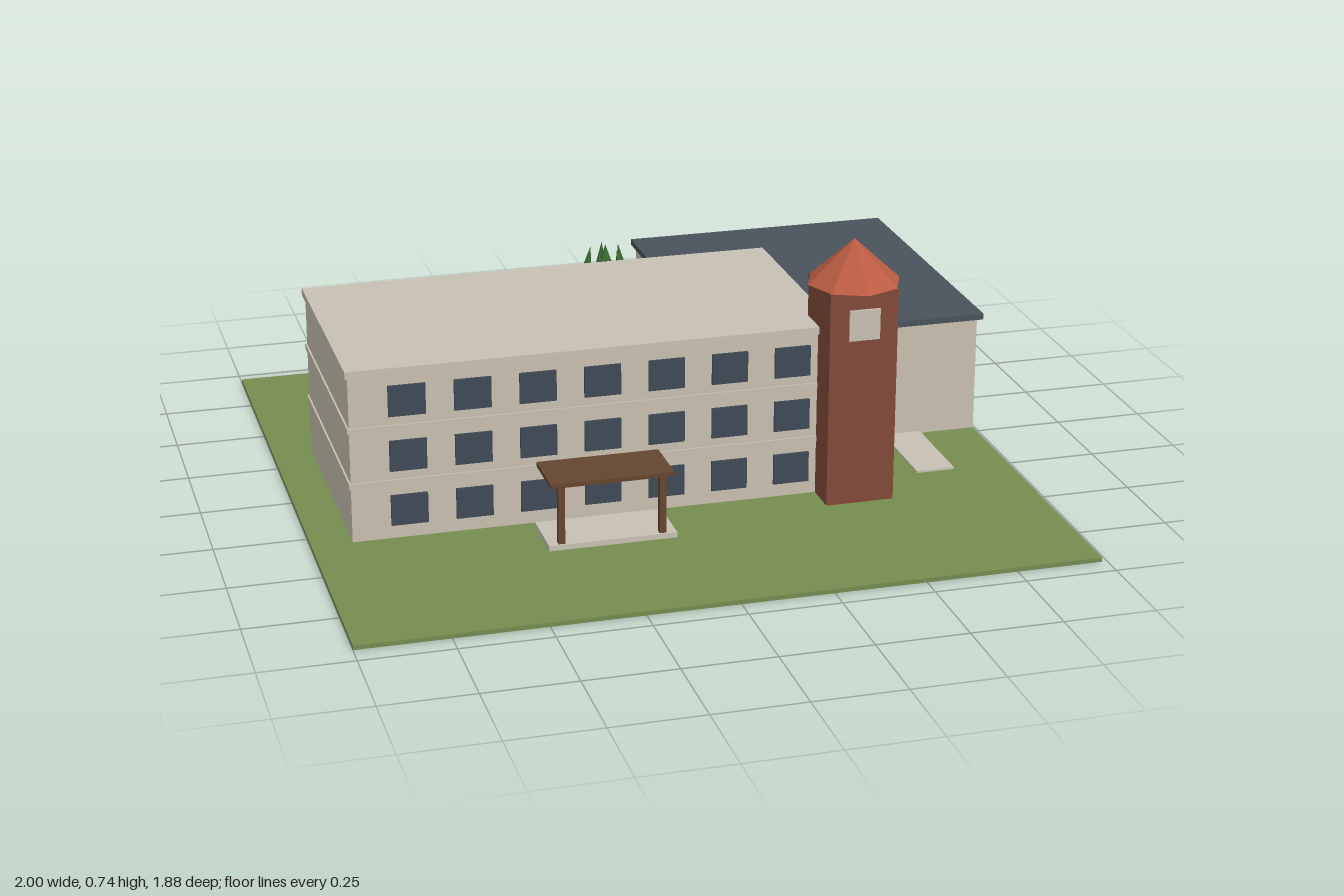
import * as THREE from 'three';

const mat = (name, color, flatShading = true) => {
  const m = new THREE.MeshStandardMaterial({ color, flatShading });
  m.name = name;
  return m;
};

export function createModel() {
  const grass = mat('grass', 0x758c50);
  const wall = mat('wall beige', 0xc8c0b0);
  const trim = mat('pale stone', 0xc7c0b3);
  const slate = mat('slate', 0x49525c);
  const pane = mat('dark window', 0x404a56);
  const glass = mat('blue glass', 0x7fa6b8);
  const brick = mat('brick', 0x824a3a);
  const tile = mat('roof tile', 0xbb5c42);
  const wood = mat('wood', 0x654630);
  const leaf = mat('leaf', 0x3b6a35);

  const model = new THREE.Group();
  model.name = 'schoolBuilding';

  const group = (name, parent = model) => {
    const g = new THREE.Group();
    g.name = name;
    parent.add(g);
    return g;
  };
  const add = (name, geo, material, parent = model, x = 0, y = 0, z = 0) => {
    const m = new THREE.Mesh(geo, material);
    m.name = name;
    m.position.set(x, y, z);
    parent.add(m);
    return m;
  };
  // box given by its lower and upper corners
  const block = (name, material, [x0, y0, z0], [x1, y1, z1], parent = model) =>
    add(name, new THREE.BoxGeometry(x1 - x0, y1 - y0, z1 - z0), material, parent,
      (x0 + x1) / 2, (y0 + y1) / 2, (z0 + z1) / 2);

  const G = 0.012; // ground level
  block('lawn', grass, [-1, 0, -0.94], [0.985, G, 0.94]);

  // main three-storey block
  const main = group('mainBlock');
  block('mainWalls', wall, [-0.89, G, -0.332], [0.438, 0.477, 0.328], main);
  block('mainRoof', trim, [-0.898, 0.477, -0.341], [0.447, 0.498, 0.338], main);
  for (const y of [0.172, 0.327])
    block('floorBand', wall, [-0.895, y - 0.008, -0.337], [0.443, y + 0.008, 0.333], main);
  for (let row = 0; row < 3; row++)
    for (let col = 0; col < 7; col++)
      for (const z of [0.331, -0.335])
        add('window', new THREE.BoxGeometry(0.1, 0.086, 0.008), pane, main,
          -0.735 + col * 0.1765, 0.093 + row * 0.155, z);

  // hall with overhanging flat roof and high rear windows
  const hall = group('hall');
  block('hallWalls', wall, [0.215, G, -0.887], [0.985, 0.346, -0.002], hall);
  block('hallRoof', slate, [0.203, 0.346, -0.9], [1, 0.364, 0.008], hall);
  for (let i = 0; i < 4; i++)
    add('hallWindow', new THREE.BoxGeometry(0.128, 0.128, 0.008), glass, hall,
      0.6 + (i - 1.5) * 0.163, 0.253, -0.89);
  block('hallPath', trim, [0.712, G, -0.002], [0.822, 0.018, 0.277]);

  // corner tower
  const tower = group('tower');
  block('towerWalls', brick, [0.396, G, 0.238], [0.587, 0.62, 0.427], tower);
  add('towerRoof', new THREE.ConeGeometry(0.13, 0.12, 8), tile, tower, 0.492, 0.68, 0.332);
  add('towerPanel', new THREE.BoxGeometry(0.086, 0.086, 0.008), trim, tower, 0.492, 0.528, 0.43);

  // entrance canopy
  const entrance = group('entrance');
  block('entranceStep', trim, [-0.402, G, 0.36], [-0.052, 0.027, 0.522], entrance);
  block('canopyRoof', wood, [-0.396, 0.189, 0.36], [-0.06, 0.201, 0.522], entrance);
  for (const x of [-0.366, -0.09])
    block('canopyPost', wood, [x - 0.009, 0.027, 0.5], [x + 0.009, 0.189, 0.517], entrance);

  // garden bench
  const bench = group('bench');
  bench.position.set(-0.118, G, -0.555);
  bench.rotation.y = -0.19;
  block('benchSeat', wood, [-0.048, 0.022, -0.015], [0.048, 0.03, 0.013], bench);
  block('benchBack', wood, [-0.048, 0.034, 0.01], [0.048, 0.056, 0.016], bench);
  for (const x of [-0.036, 0.036]) {
    block('benchLeg', wood, [x - 0.005, 0, -0.012], [x + 0.005, 0.022, 0.01], bench);
    block('benchBackPost', wood, [x - 0.004, 0.022, 0.009], [x + 0.004, 0.036, 0.015], bench);
  }

  // slim garden pole
  add('pole', new THREE.CylinderGeometry(0.006, 0.008, 0.17, 6), pane, model, -0.505, G + 0.085, -0.5);

  // round tree
  const tree = group('roundTree');
  tree.position.set(-0.778, G, -0.365);
  add('trunk', new THREE.CylinderGeometry(0.013, 0.017, 0.1, 6), wood, tree, 0, 0.05, 0);
  add('crown', new THREE.SphereGeometry(0.09, 8, 6), leaf, tree, 0, 0.178, 0).scale.y = 1.22;

  // tall tree with a ring of leaning spikes
  const tall = group('tallTree');
  tall.position.set(0.105, G, -0.835);
  add('trunk', new THREE.CylinderGeometry(0.01, 0.014, 0.26, 6), wood, tall, 0, 0.13, 0);
  add('crownCore', new THREE.ConeGeometry(0.045, 0.12, 6), leaf, tall, 0, 0.305, 0);
  for (let i = 0; i < 5; i++) {
    const arm = group('spikeArm', tall);
    arm.rotation.y = Math.PI + i * Math.PI * 0.4;
    add('spike', new THREE.ConeGeometry(0.025, 0.12, 5), leaf, arm, 0, 0.3, 0.054).rotation.x = -0.15;
  }
  return model;
}
